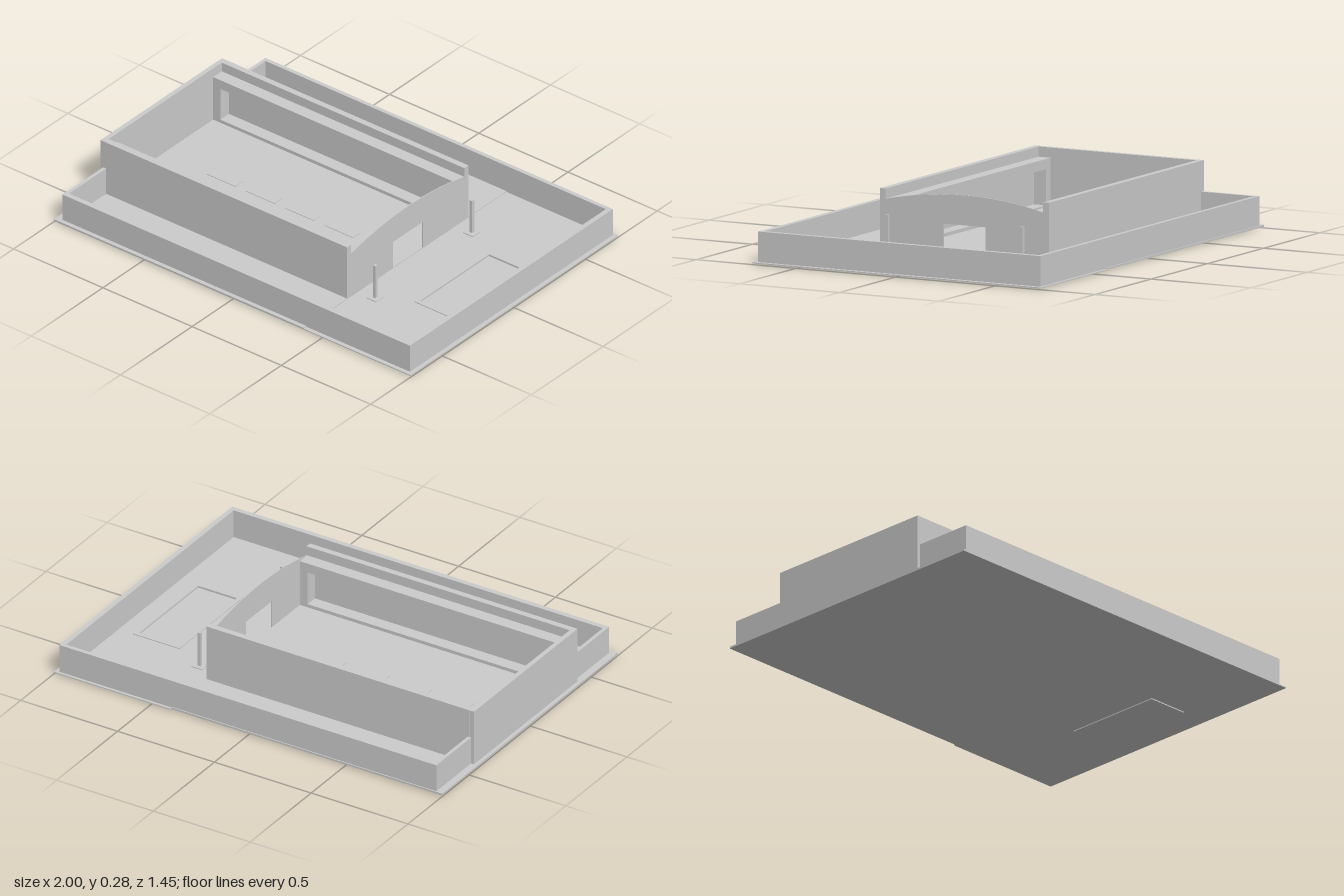
import * as THREE from 'three';

const material = new THREE.MeshStandardMaterial({ color: 0xcccccc, flatShading: true, side: THREE.DoubleSide });

export function createModel() {
  const model = new THREE.Group();
  model.name = 'courtyardBuilding';

  const add = (name, geometry, parent = model) => {
    const mesh = new THREE.Mesh(geometry, material);
    mesh.name = name;
    parent.add(mesh);
    return mesh;
  };

  // Box given by its limits on each axis
  const box = (name, x0, x1, y0, y1, z0, z1, parent) =>
    add(name, new THREE.BoxGeometry(x1 - x0, y1 - y0, z1 - z0), parent)
      .position.set((x0 + x1) / 2, (y0 + y1) / 2, (z0 + z1) / 2);

  // Rectangular outline in plan
  const outline = (Type, x0, x1, z0, z1) => new Type([
    new THREE.Vector2(x0, -z1), new THREE.Vector2(x1, -z1),
    new THREE.Vector2(x1, -z0), new THREE.Vector2(x0, -z0),
  ]);

  // Flat slab with a rectangular opening
  const slabWithHole = (name, outer, inner, y0, y1) => {
    const shape = outline(THREE.Shape, ...outer);
    shape.holes.push(outline(THREE.Path, ...inner));
    const g = new THREE.ExtrudeGeometry(shape, { depth: y1 - y0, bevelEnabled: false });
    g.rotateX(-Math.PI / 2).translate(0, y0, 0);
    return add(name, g);
  };

  // Ground slabs and the sunken basin
  const basin = [0.66, 0.86, -0.25, 0.23];
  box('buildingSlab', -1, 0.4, 0.005, 0.014, -0.72, 0.72);
  slabWithHole('yardSlab', [0.4, 1, -0.728, 0.72], basin, 0.005, 0.01);
  slabWithHole('basinRim', [0.64, 0.88, -0.27, 0.25], basin, 0.01, 0.014);
  box('basinFloor', ...basin.slice(0, 2), 0, 0.005, ...basin.slice(2));

  // Low perimeter wall, interrupted by the building at the -x end
  const perimeter = new THREE.Group();
  perimeter.name = 'perimeterWall';
  model.add(perimeter);
  box('frontWall', -0.967, 0.98, 0.01, 0.145, 0.675, 0.7, perimeter);
  box('backWall', -0.967, 0.98, 0.01, 0.145, -0.715, -0.695, perimeter);
  box('rightEndWall', 0.957, 0.98, 0.01, 0.145, -0.695, 0.675, perimeter);
  box('leftEndWallFront', -0.967, -0.95, 0.01, 0.145, 0.415, 0.675, perimeter);
  box('leftEndWallBack', -0.967, -0.95, 0.01, 0.145, -0.695, -0.43, perimeter);

  // Building shell: open roof, long walls and a plain rear end
  const top = 0.28, midZ = -0.007;
  box('rearEndWall', -0.982, -0.96, 0.01, top, -0.43, 0.417);
  for (const s of [1, -1]) {
    const zs = (a, b) => [midZ + s * a, midZ + s * b].sort((p, q) => p - q);
    const side = new THREE.Group();
    side.name = s > 0 ? 'frontSide' : 'backSide';
    model.add(side);
    box('longWall', -0.96, 0.4, 0.01, top, ...zs(0.395, 0.424), side);
    // Inner niche: beam, sill and end pillars
    box('beam', -0.96, 0.4, 0.19, 0.235, ...zs(0.335, 0.395), side);
    box('sill', -0.96, 0.396, 0.014, 0.03, ...zs(0.335, 0.395), side);
    for (const x of [-0.96, 0.356]) {
      box('pillar', x, x + 0.04, 0.03, 0.19, ...zs(0.335, 0.395), side);
    }
  }

  // Arched entrance wall with a doorway
  const arch = new THREE.Shape();
  arch.moveTo(-0.395, 0.014);
  arch.lineTo(-0.105, 0.014);
  arch.lineTo(-0.105, 0.147);
  arch.lineTo(0.105, 0.147);
  arch.lineTo(0.105, 0.014);
  arch.lineTo(0.395, 0.014);
  arch.lineTo(0.395, 0.235);
  arch.quadraticCurveTo(0, 0.325, -0.395, 0.235);
  const archGeometry = new THREE.ExtrudeGeometry(arch, { depth: 0.004, bevelEnabled: false, curveSegments: 20 });
  archGeometry.rotateY(Math.PI / 2).translate(0.396, 0, midZ);
  add('archedEntranceWall', archGeometry);

  // Row of floor panels along the hall
  for (const x of [-0.705, -0.485, -0.265, -0.045]) {
    box('floorPanel', x, x + 0.16, 0.012, 0.017, -0.033, 0.02);
  }

  // Posts on small plates beside the entrance
  for (const z of [-0.345, 0.33]) {
    const post = new THREE.Group();
    post.name = 'entrancePost';
    model.add(post);
    box('plate', 0.46, 0.515, 0.01, 0.014, z - 0.027, z + 0.027, post);
    box('shaft', 0.481, 0.495, 0.014, 0.18, z - 0.008, z + 0.008, post);
  }

  return model;
}
